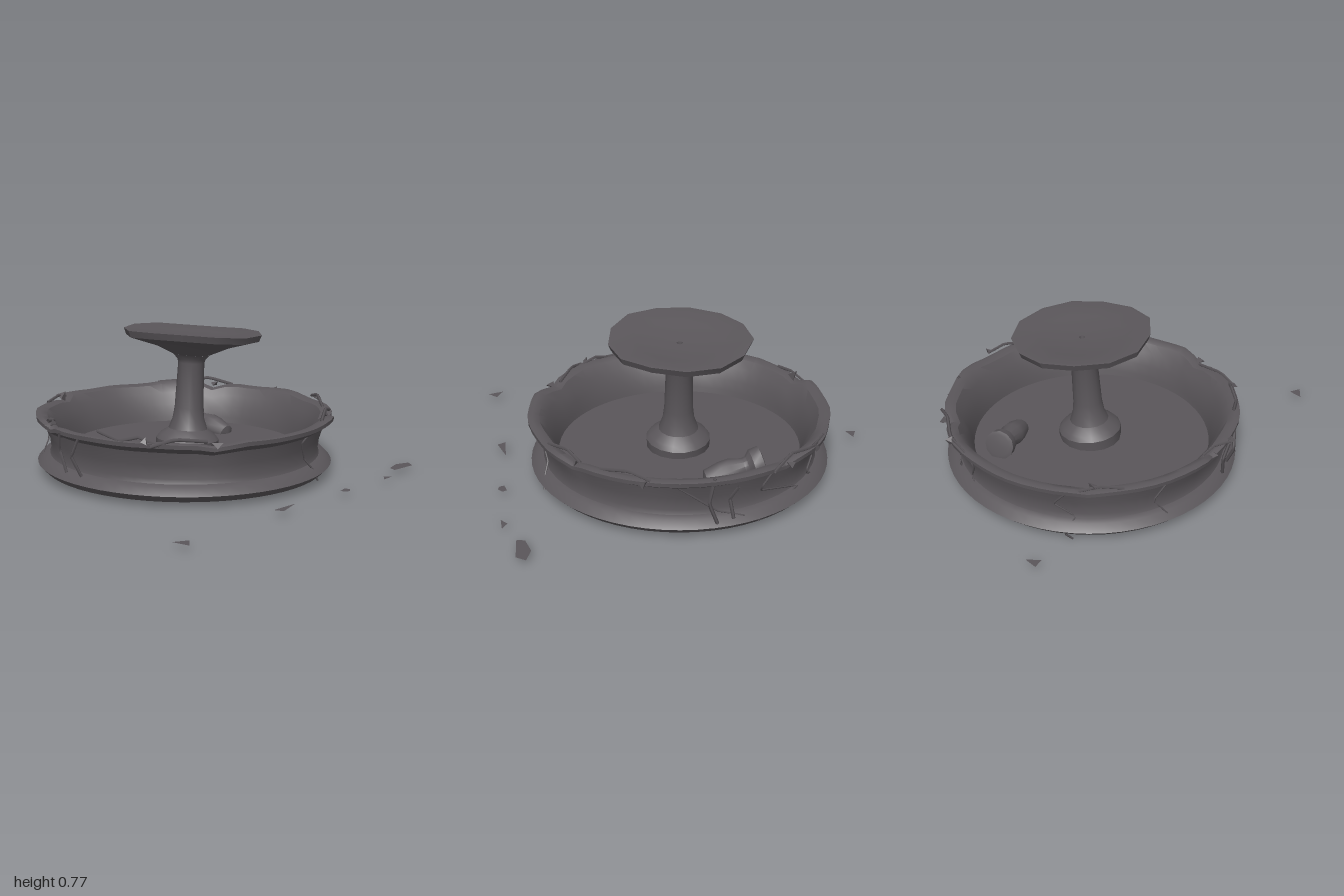
import * as THREE from 'three';
import { toCreasedNormals } from 'three/addons/utils/BufferGeometryUtils.js';

const CX = 0.09, CZ = 0.02, RAD = Math.PI / 180;
const JOINTS = [-162, -109, -29, 54, 124]; // where the basin lobes meet, degrees from +x towards +z

export function createModel() {
  const model = new THREE.Group();
  const stone = new THREE.MeshStandardMaterial({ color: 0x5a565a });
  stone.name = 'dark stone';
  const stoneThin = new THREE.MeshStandardMaterial({ color: 0x5a565a, side: THREE.DoubleSide });
  stoneThin.name = 'dark stone, thin parts';

  const add = (name, geo, mat = stone) => {
    const mesh = new THREE.Mesh(geo, mat);
    mesh.name = name;
    model.add(mesh);
    return mesh;
  };
  const lathe = (pts, sides) =>
    new THREE.LatheGeometry(pts.map(p => new THREE.Vector2(p[0], p[1])), sides);

  // Nearness to a lobe joint: 1 at the joint, 0 away from it
  const jointAt = a => {
    let best = 0;
    for (const j of JOINTS) {
      const d = Math.abs(Math.atan2(Math.sin(a - j * RAD), Math.cos(a - j * RAD)));
      best = Math.max(best, 1 - d / 0.11);
    }
    return best;
  };

  // Basin: stepped base, concave wall, worn lip, sloping inside and floor
  const basin = lathe([
    [0, 0.03], [0.75, 0.03], [0.785, 0.065], [0.75, 0.1], [0.72, 0.108], [0.712, 0.13],
    [0.72, 0.2], [0.738, 0.265], [0.788, 0.297], [0.79, 0.318], [0.765, 0.324],
    [0.73, 0.312], [0.695, 0.265], [0.662, 0.2], [0.645, 0.14], [0.638, 0.11], [0, 0.11],
  ], 60);
  const p = basin.attributes.position;
  for (let i = 0; i < p.count; i++) {
    const x = p.getX(i), y = p.getY(i), z = p.getZ(i);
    const r = Math.hypot(x, z), a = Math.atan2(z, x);
    if (y < 0.15 || r < 0.1) continue;
    const t = (y - 0.15) / 0.17, j = jointAt(a);
    const wear = 0.006 * Math.sin(a * 7 + 1) + 0.005 * Math.sin(a * 13);
    const k = 1 + (wear - j * 0.025) * t / r;
    p.setXYZ(i, x * k, y + (wear * 0.6 - j * 0.03) * t, z * k);
  }
  add('basin', toCreasedNormals(basin, 0.6)).position.set(CX, 0, CZ);

  // Leaning pedestal carrying the upper bowl
  const column = add('pedestal', toCreasedNormals(lathe([
    [0.165, -0.02], [0.17, 0.05], [0.15, 0.075], [0.105, 0.105], [0.085, 0.16],
    [0.077, 0.22], [0.07, 0.46], [0.076, 0.48], [0.1, 0.505],
  ], 16), 0.6));
  const bowlGeo = lathe([
    [0.1, 0.505], [0.2, 0.55], [0.355, 0.598], [0.368, 0.632], [0.352, 0.634],
    [0.22, 0.614], [0.1, 0.604], [0.016, 0.602], [0.014, 0.585], [0, 0.585],
  ], 13);
  const b = bowlGeo.attributes.position;
  for (let i = 0; i < b.count; i++) {
    const x = b.getX(i), z = b.getZ(i), r = Math.hypot(x, z);
    if (r < 0.3) continue;
    const a = Math.atan2(z, x), k = 1 + 0.015 * Math.sin(a * 5 + 2);
    b.setXYZ(i, x * k, b.getY(i) + 0.006 * Math.sin(a * 3), z * k);
  }
  const bowl = add('upperBowl', toCreasedNormals(bowlGeo, 0.5));
  for (const m of [column, bowl]) {
    m.position.set(0.1, 0.11, 0.03);
    m.rotation.z = -0.07;
  }

  // Fallen finial, lying half sunk in the basin floor
  const finial = add('fallenFinial', toCreasedNormals(lathe([
    [0, -0.08], [0.05, -0.06], [0.065, 0.02], [0.066, 0.07], [0.046, 0.14],
    [0.05, 0.16], [0.076, 0.185], [0.08, 0.235], [0.06, 0.24], [0, 0.235],
  ], 12), 0.6));
  finial.position.set(0.49, 0.12, -0.09);
  finial.rotation.set(-Math.PI / 2 + 0.25, 0, 0);

  // Angular strands; each point is [degrees, radius, height] about the basin axis
  const strand = (name, pts, r) => {
    const path = new THREE.CurvePath();
    const v = pts.map(([a, R, y]) => new THREE.Vector3(
      CX + R * Math.cos(a * RAD), y, CZ + R * Math.sin(a * RAD)));
    for (let i = 1; i < v.length; i++) path.add(new THREE.LineCurve3(v[i - 1], v[i]));
    add(name, new THREE.TubeGeometry(path, (v.length - 1) * 4, r, 4, false), stoneThin);
  };

  // Cracks running down the wall
  const cracks = [
    [[79, 0.745, 0.285], [84, 0.732, 0.24], [80, 0.722, 0.15], [77, 0.755, 0.09], [75, 0.77, 0.03]],
    [[13, 0.74, 0.27], [5, 0.724, 0.19], [-2, 0.72, 0.12], [-12, 0.76, 0.09]],
    [[-26, 0.74, 0.28], [-20, 0.722, 0.18], [-29, 0.716, 0.15], [-41, 0.735, 0.11], [-17, 0.775, 0.05]],
    [[-46, 0.745, 0.28], [-54, 0.73, 0.2], [-50, 0.72, 0.12], [-62, 0.77, 0.05]],
    [[-100, 0.745, 0.28], [-94, 0.725, 0.19], [-103, 0.72, 0.12], [-99, 0.772, 0.05], [-102, 0.755, 0.006]],
    [[-140, 0.745, 0.28], [-134, 0.725, 0.17], [-139, 0.757, 0.09]],
  ];
  for (const c of cracks) strand('wallCrack', c, 0.005);

  // Dry stems hanging over and lying on the lip
  const stems = [
    [[178, 0.78, 0.3], [181, 0.79, 0.2], [179, 0.75, 0.1]],
    [[188, 0.79, 0.3], [190, 0.775, 0.22], [187, 0.76, 0.1]],
    [[0, 0.78, 0.33], [2, 0.78, 0.2], [-1, 0.785, 0.09]],
    [[-8, 0.8, 0.28], [-6, 0.76, 0.2], [-7, 0.78, 0.1]],
    [[145, 0.79, 0.31], [153, 0.77, 0.345], [160, 0.78, 0.32], [170, 0.76, 0.35]],
    [[128, 0.73, 0.32], [140, 0.77, 0.34], [148, 0.81, 0.31]],
    [[192, 0.82, 0.36], [196, 0.76, 0.345], [203, 0.75, 0.33]],
    [[70, 0.76, 0.325], [58, 0.75, 0.355], [50, 0.77, 0.33]],
    [[42, 0.75, 0.32], [30, 0.77, 0.355], [22, 0.79, 0.33]],
    [[-22, 0.8, 0.31], [-32, 0.77, 0.35], [-43, 0.79, 0.33], [-55, 0.78, 0.32]],
    [[-104, 0.77, 0.31], [-112, 0.76, 0.335], [-121, 0.77, 0.32]],
  ];
  for (const s of stems) strand('dryStem', s, 0.009);

  // Loose chips perched on the lip: [degrees, radius, height, size]
  const chips = [
    [125, 0.77, 0.31, 0.035], [150, 0.8, 0.33, 0.025], [190, 0.81, 0.35, 0.025],
    [-162, 0.78, 0.31, 0.025], [-110, 0.75, 0.325, 0.04], [-45, 0.8, 0.32, 0.03],
    [-30, 0.79, 0.31, 0.03], [24, 0.81, 0.32, 0.03], [54, 0.75, 0.31, 0.03],
  ];
  chips.forEach(([a, R, y, s], i) => {
    const chip = add('lipChip', new THREE.TetrahedronGeometry(s));
    chip.position.set(CX + R * Math.cos(a * RAD), y, CZ + R * Math.sin(a * RAD));
    chip.rotation.set(i, i * 2, 0);
    chip.scale.y = 0.6;
  });

  // Flat shards scattered on the ground, outlined in x, z
  const shards = [
    [[0.02, -1], [0.085, -0.965], [0.01, -0.945]],
    [[-0.91, 0.89], [-0.84, 0.93], [-0.89, 0.975]],
    [[-0.26, 0.92], [-0.11, 0.93], [-0.24, 0.965]],
    [[0.21, 0.96], [0.26, 0.95], [0.27, 0.975], [0.24, 0.995], [0.215, 0.985]],
    [[0.535, 1], [0.575, 0.97], [0.615, 1]],
    [[0.74, 0.9], [0.83, 0.88], [0.905, 0.91], [0.87, 0.955], [0.725, 0.94]],
  ];
  for (const s of shards) {
    const geo = new THREE.ShapeGeometry(new THREE.Shape(s.map(q => new THREE.Vector2(q[0], -q[1]))));
    geo.rotateX(-Math.PI / 2);
    add('groundShard', geo, stoneThin).position.y = 0.032;
  }
  return model;
}
